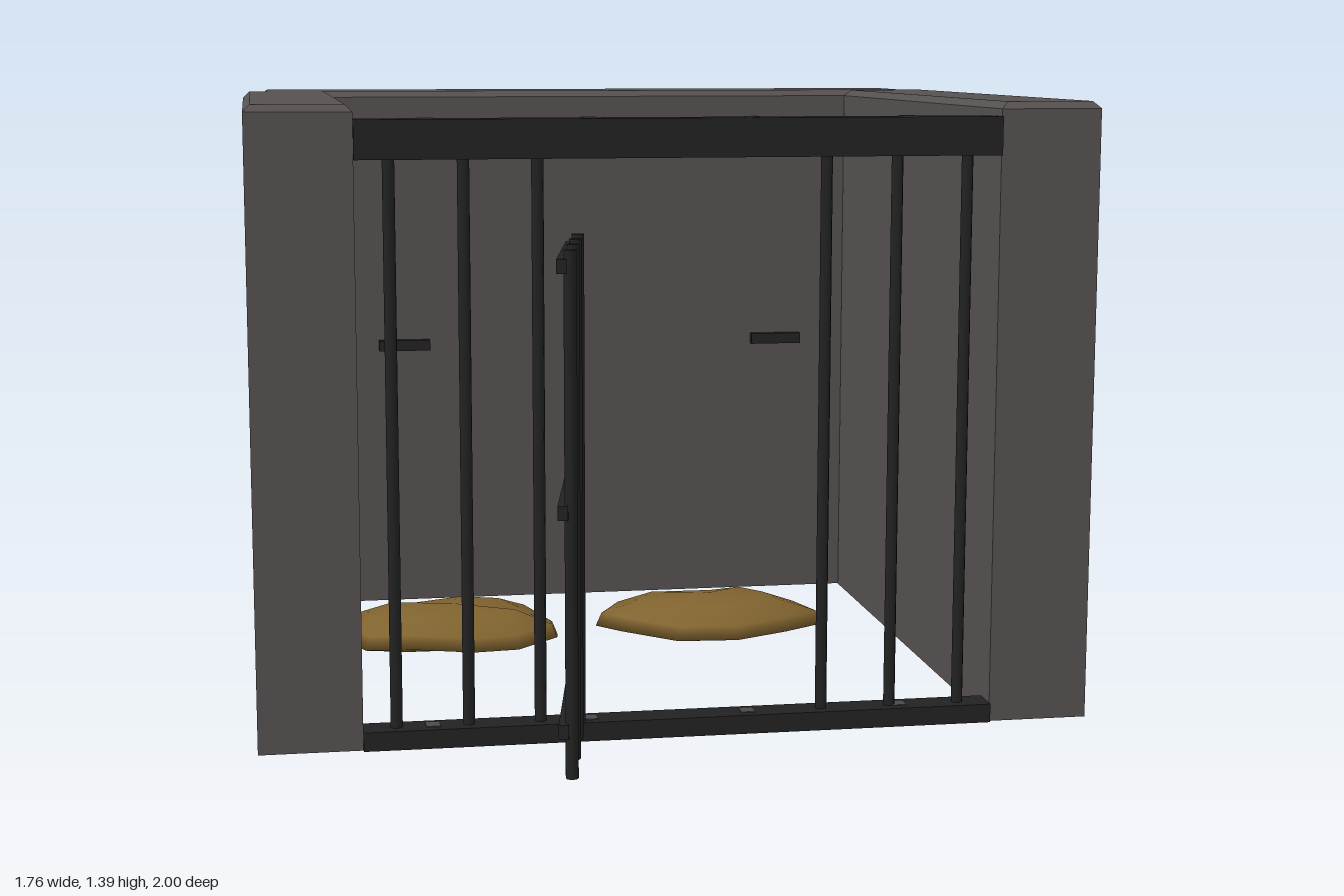
import * as THREE from 'three';

const mat = (name, color) => {
  const m = new THREE.MeshStandardMaterial({ color });
  m.name = name;
  return m;
};

export function createModel() {
  const stone = mat('stone', 0x565150);
  const iron = mat('iron', 0x222222);
  const rivetGrey = mat('rivet grey', 0x4a4a4a);
  const straw = mat('straw', 0x80632f);
  const model = new THREE.Group();
  model.name = 'prisonCell';

  const add = (parent, name, geo, material, x, y, z) => {
    const mesh = new THREE.Mesh(geo, material);
    mesh.name = name;
    mesh.position.set(x, y, z);
    parent.add(mesh);
    return mesh;
  };
  const box = (parent, name, material, x0, x1, y0, y1, z0, z1) =>
    add(parent, name, new THREE.BoxGeometry(x1 - x0, y1 - y0, z1 - z0), material,
      (x0 + x1) / 2, (y0 + y1) / 2, (z0 + z1) / 2);
  const bar = (parent, name, x, y0, y1, z) =>
    add(parent, name, new THREE.CylinderGeometry(0.0125, 0.0125, y1 - y0, 8), iron, x, (y0 + y1) / 2, z);

  // Wall block with a bevel around the top
  function wall(name, x0, x1, z0, z1) {
    const y0 = 0.07, y1 = 1.39, h = y1 - y0, c = 0.015;
    const geo = new THREE.BoxGeometry(x1 - x0, h, z1 - z0, 1, 2, 1).toNonIndexed();
    const p = geo.attributes.position;
    for (let i = 0; i < p.count; i++) {
      const y = p.getY(i);
      if (Math.abs(y) < 0.01) p.setY(i, h / 2 - c);
      else if (y > 0) {
        p.setX(i, p.getX(i) - Math.sign(p.getX(i)) * c);
        p.setZ(i, p.getZ(i) - Math.sign(p.getZ(i)) * c);
      }
    }
    geo.computeVertexNormals();
    add(model, name, geo, stone, (x0 + x1) / 2, (y0 + y1) / 2, (z0 + z1) / 2);
  }
  wall('rightWall', -0.885, -0.67, -0.735, 0.59);
  wall('leftWall', 0.665, 0.88, -0.735, 0.59);
  wall('backWall', -0.84, 0.835, -1, -0.74);

  // Front rails with rivets, and the fixed bars
  box(model, 'topRail', iron, -0.67, 0.665, 1.28, 1.36, 0.53, 0.6);
  box(model, 'bottomRail', iron, -0.67, 0.665, 0.07, 0.11, 0.53, 0.6);
  for (const x of [-0.525, -0.195, 0.14, 0.47])
    for (const y of [0.11, 1.36])
      box(model, 'rivet', rivetGrey, x - 0.015, x + 0.015, y, y + 0.002, 0.545, 0.58);
  for (const x of [0.3, 0.45, 0.6])
    for (const s of [-1, 1]) bar(model, 'fixedBar', s * x, 0.1, 1.29, 0.565);

  // Open gate, swung outwards
  const gate = new THREE.Group();
  gate.name = 'gate';
  gate.position.set(-0.237, 0, 0.597);
  gate.rotation.y = -0.176;
  model.add(gate);
  for (const y of [0.21, 0.635, 1.1])
    box(gate, 'gateCrossbar', iron, -0.01, 0.01, y - 0.014, y + 0.014, 0, 0.405);
  for (const z of [0.013, 0.135, 0.262, 0.388]) bar(gate, 'gateBar', 0.015, 0.115, 1.13, z);

  // Iron plates on the back wall
  for (const x of [-0.49, 0.485])
    box(model, 'wallPlate', iron, x - 0.065, x + 0.065, 0.728, 0.755, -0.745, -0.72);

  // Straw pile: outline rings shrinking to a lower and an upper tip
  function strawPile(name, outline, cx, cz) {
    const n = outline.length, pos = [], index = [];
    const rings = [[0.5, 0.02], [1, 0.042], [0.95, 0.075], [0.6, 0.108]];
    pos.push(cx, 0, cz);
    rings.forEach(([s, y]) => outline.forEach(([x, z], i) =>
      pos.push(cx + (x - cx) * s, y + 0.006 * Math.sin(i * 2.3), cz + (z - cz) * s)));
    pos.push(cx, 0.122, cz);
    const top = rings.length * n + 1;
    for (let i = 0; i < n; i++) {
      const j = (i + 1) % n;
      index.push(0, 1 + i, 1 + j);
      for (let r = 0; r < rings.length - 1; r++) {
        const a = 1 + r * n + i, b = 1 + r * n + j;
        index.push(a, a + n, b, b, a + n, b + n);
      }
      index.push(top - n + i, top, top - n + j);
    }
    const geo = new THREE.BufferGeometry();
    geo.setAttribute('position', new THREE.Float32BufferAttribute(pos, 3));
    geo.setIndex(index);
    geo.computeVertexNormals();
    add(model, name, geo, straw, 0, 0, 0);
  }
  strawPile('rightStrawPile', [[-0.67, -0.45], [-0.64, -0.58], [-0.55, -0.63], [-0.35, -0.65],
    [-0.19, -0.61], [-0.135, -0.44], [-0.145, -0.365], [-0.25, -0.29], [-0.36, -0.28],
    [-0.5, -0.295], [-0.62, -0.35]], -0.4, -0.46);
  strawPile('leftStrawPile', [[-0.03, -0.49], [0.03, -0.59], [0.3, -0.655], [0.42, -0.63],
    [0.505, -0.54], [0.55, -0.44], [0.43, -0.33], [0.3, -0.295], [0.15, -0.31],
    [0.02, -0.4]], 0.26, -0.47);

  return model;
}
